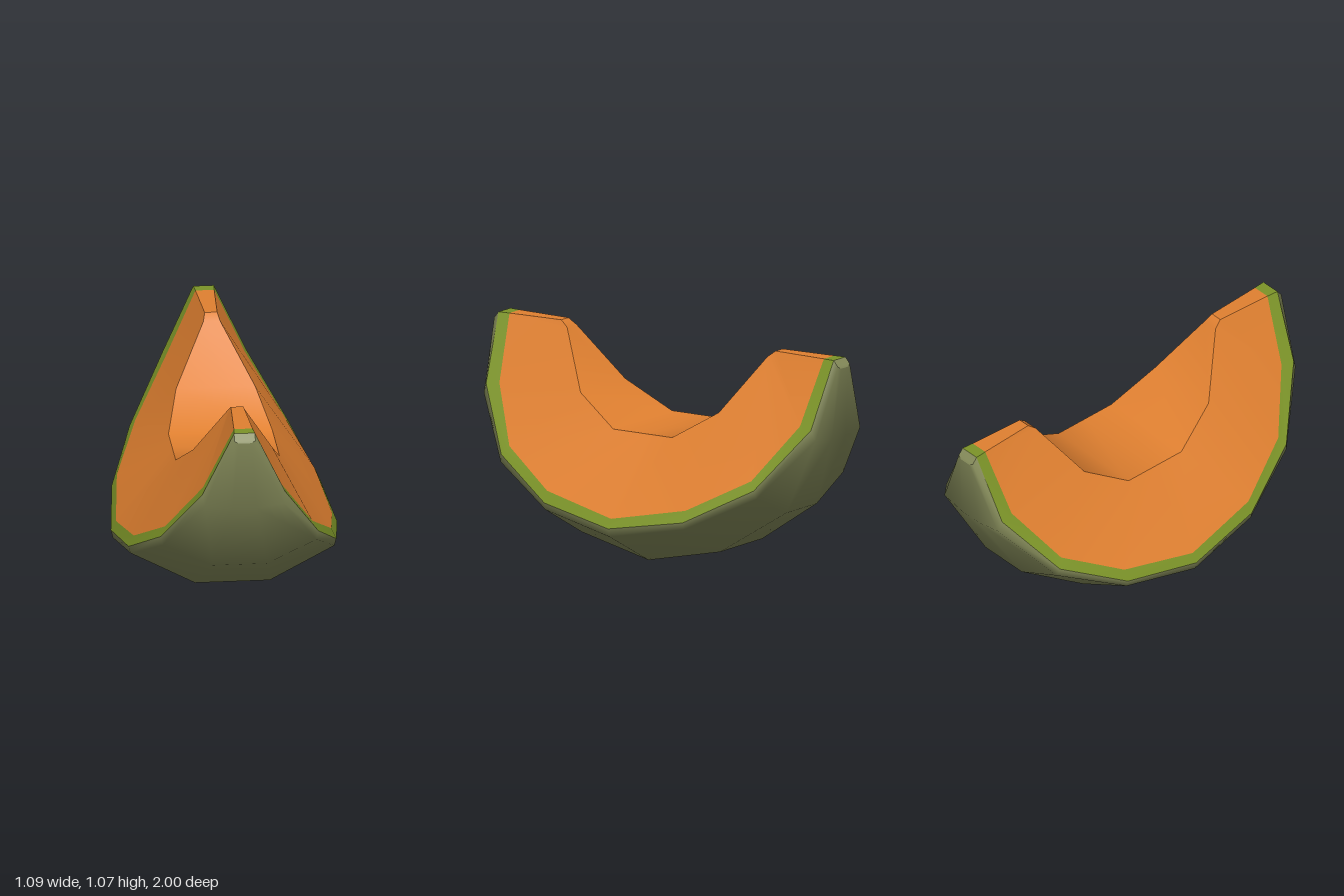
import * as THREE from 'three';

// Half profiles from the middle (z = 0) to the tip: [z, half width, y]
const RIM = [[0, 0.25, 0.63], [0.17, 0.25, 0.63], [0.4, 0.19, 0.77], [0.58, 0.04, 1.04], [0.62, 0.03, 1.07]];
const FLESH = [[0, 0.52, 0.26], [0.4, 0.475, 0.34], [0.7, 0.355, 0.5], [0.87, 0.19, 0.76], [0.91, 0.045, 1.07]];
const EDGE = [[0, 0.545, 0.215], [0.4, 0.5, 0.285], [0.73, 0.38, 0.46], [0.94, 0.2, 0.75], [0.97, 0.05, 1.07]];
const BEVEL = [[0, 0.535, 0.175], [0.4, 0.49, 0.25], [0.74, 0.37, 0.42], [0.96, 0.19, 0.7], [0.995, 0.05, 1.04]];
const BOTTOM = [[0, 0.2, 0], [0.4, 0.18, 0.085], [0.75, 0.13, 0.31], [0.965, 0.06, 0.68], [1, 0.03, 1.03]];

// Full line along the wedge, from -z tip to +z tip, on one side
function line(half, side) {
  const point = ([z, x, y], end) => [x * side, y, z * end];
  return [...half.slice(1).reverse().map(p => point(p, -1)), ...half.map(p => point(p, 1))];
}

// Smooth surface through a grid of points
function surface(rows) {
  const n = rows[0].length, index = [];
  for (let i = 0; i < rows.length - 1; i++) {
    for (let j = 0; j < n - 1; j++) {
      const a = i * n + j, b = a + 1, d = a + n, c = d + 1;
      index.push(a, d, c, a, c, b);
    }
  }
  const g = new THREE.BufferGeometry();
  g.setAttribute('position', new THREE.Float32BufferAttribute(rows.flat(2), 3));
  g.setIndex(index);
  g.computeVertexNormals();
  return g;
}

// Surface between neighbouring lengthwise lines
const loft = lines => surface(lines[0].map((_, i) => lines.map(l => l[i])));

export function createModel() {
  const group = new THREE.Group();
  const material = (name, color) => {
    const m = new THREE.MeshStandardMaterial({ color, side: THREE.DoubleSide });
    m.name = name;
    return m;
  };
  const rind = material('rind green', 0x858b5a);
  const inner = material('inner rind green', 0x7c9428);
  const flesh = material('flesh orange', 0xe08030);
  const add = (name, geometry, mat) => {
    const mesh = new THREE.Mesh(geometry, mat);
    mesh.name = name;
    group.add(mesh);
  };

  // Outer skin with a narrow bevel along both cuts
  add('rind', loft([line(EDGE, 1), line(BEVEL, 1), line(BOTTOM, 1),
    line(BOTTOM, -1), line(BEVEL, -1), line(EDGE, -1)]), rind);

  // Cut faces: flesh and the green strip beside the rind
  for (const side of [1, -1]) {
    const order = lines => loft(side > 0 ? lines : lines.reverse());
    const word = side > 0 ? 'left' : 'right';
    add(word + 'CutFlesh', order([line(RIM, side), line(FLESH, side)]), flesh);
    add(word + 'CutStrip', order([line(FLESH, side), line(EDGE, side)]), inner);
  }

  // Scooped hollow between the two rims
  add('hollow', loft([line(RIM, -1), line(RIM, 1)]), flesh);

  // Tips: flat top of the flesh, green strip and rind end
  for (const end of [1, -1]) {
    const pair = half => {
      const [z, x, y] = half[4];
      return [[-x * end, y, z * end], [x * end, y, z * end]];
    };
    const word = end > 0 ? 'front' : 'back';
    add(word + 'TipFlesh', surface([pair(RIM), pair(FLESH)]), flesh);
    add(word + 'TipStrip', surface([pair(FLESH), pair(EDGE)]), inner);
    add(word + 'TipRind', surface([pair(EDGE), pair(BEVEL), pair(BOTTOM)]), rind);
  }
  return group;
}
